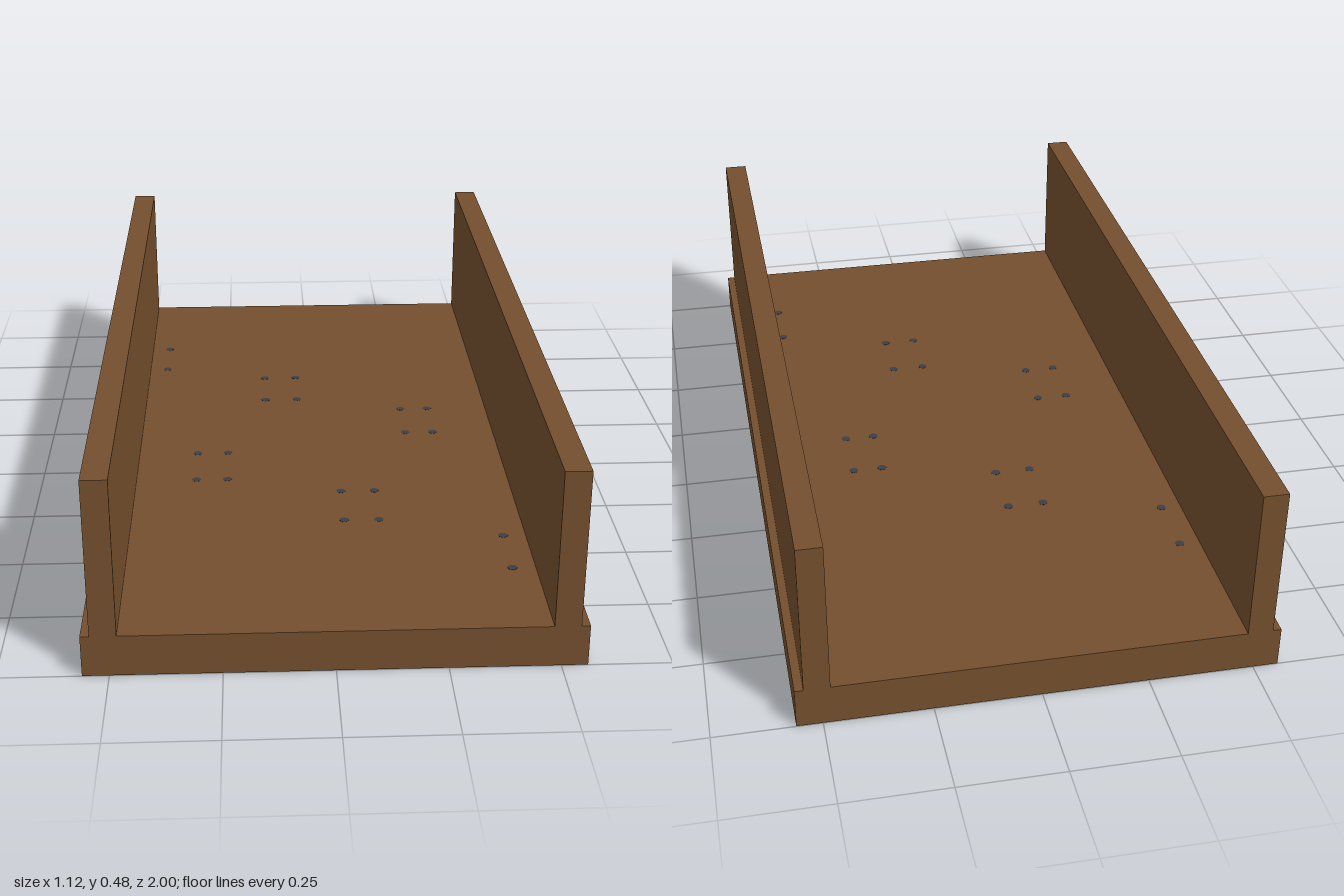
import * as THREE from 'three';

export function createModel() {
  const model = new THREE.Group();
  model.name = 'woodenChannel';

  const wood = new THREE.MeshStandardMaterial({ color: 0x744f2d });
  wood.name = 'brown wood';
  const iron = new THREE.MeshStandardMaterial({ color: 0x3b3f45 });
  iron.name = 'dark iron';

  const addBox = (name, w, h, d, x, y) => {
    const mesh = new THREE.Mesh(new THREE.BoxGeometry(w, h, d), wood);
    mesh.name = name;
    mesh.position.set(x, y, 0);
    model.add(mesh);
  };

  // Floor slab and the two side walls, set in slightly from its edges
  addBox('floor', 1.12, 0.1, 2, 0, 0.05);
  addBox('leftWall', 0.06, 0.38, 2, 0.51, 0.29);
  addBox('rightWall', 0.06, 0.38, 2, -0.51, 0.29);

  // Staggered nails through the floor: x positions and the centre z of each pair
  const nailRows = [
    { z: -0.56, xs: [-0.43, -0.53] },
    { z: -0.325, xs: [-0.14, -0.05] },
    { z: -0.09, xs: [0.24, 0.315] },
    { z: 0.175, xs: [-0.325, -0.245] },
    { z: 0.41, xs: [0.045, 0.13] },
    { z: 0.66, xs: [0.425, 0.53, -0.49] },
  ];
  const nails = new THREE.Group();
  nails.name = 'nails';
  const nailGeometry = new THREE.CylinderGeometry(0.012, 0.012, 0.101, 8);
  for (const { z, xs } of nailRows) {
    for (const x of xs) {
      for (const side of [-1, 1]) {
        const nail = new THREE.Mesh(nailGeometry, iron);
        nail.name = 'nail';
        nail.position.set(x, 0.05, z + side * 0.078);
        nails.add(nail);
      }
    }
  }
  model.add(nails);
  return model;
}
